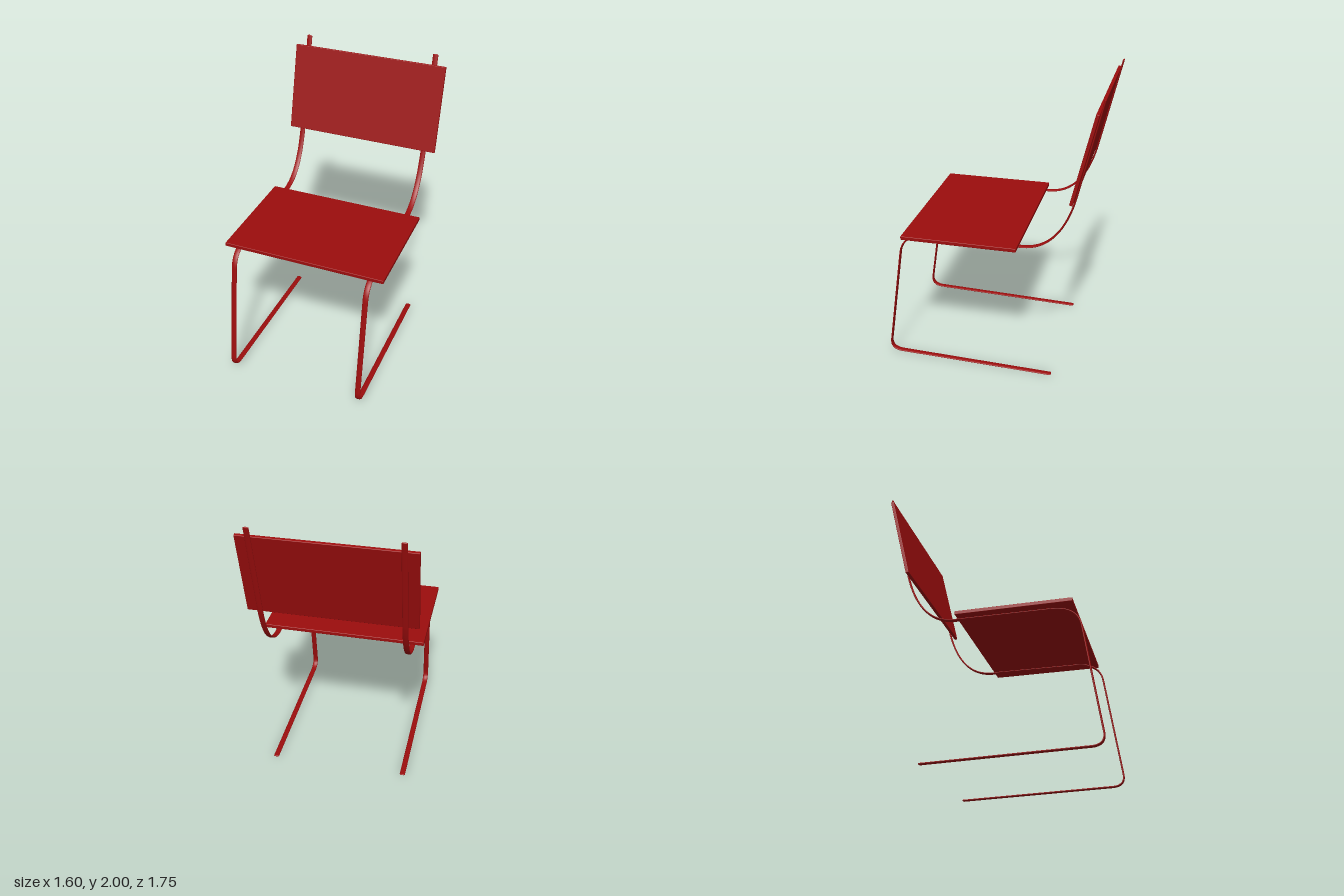
import * as THREE from 'three';
import { RoundedBoxGeometry } from 'three/addons/geometries/RoundedBoxGeometry.js';

const material = new THREE.MeshStandardMaterial({ color: 0x9c0d0d, side: THREE.DoubleSide });
const BAR_THICKNESS = 0.012, BAR_WIDTH = 0.038;

function panel(name, width, height, depth) {
  const mesh = new THREE.Mesh(new RoundedBoxGeometry(width, height, depth, 2, 0.004), material);
  mesh.name = name;
  return mesh;
}

// One continuous bent bar in the z/y plane: floor runner, leg, seat rail and back upright
function frameCurve() {
  const p = (z, y) => new THREE.Vector3(0, y, z);
  const path = new THREE.CurvePath();
  const line = (a, b) => path.add(new THREE.LineCurve3(a, b));
  const bend = (a, corner, b) => path.add(new THREE.QuadraticBezierCurve3(a, corner, b));
  line(p(-0.41, 0.008), p(0.66, 0.036));
  bend(p(0.66, 0.036), p(0.75, 0.038), p(0.739, 0.12));
  line(p(0.739, 0.12), p(0.635, 0.83));
  bend(p(0.635, 0.83), p(0.614, 0.966), p(0.44, 0.967));
  line(p(0.44, 0.967), p(-0.2, 0.971));
  bend(p(-0.2, 0.971), p(-0.445, 0.973), p(-0.543, 1.33));
  line(p(-0.543, 1.33), p(-0.699, 1.992));
  return path;
}

// Oval bar: a round tube widened sideways, with rounded ends
function frameBar(name, x) {
  const group = new THREE.Group();
  group.name = name;
  const curve = frameCurve();
  const r = BAR_THICKNESS / 2, widen = BAR_WIDTH / BAR_THICKNESS;
  const tube = new THREE.TubeGeometry(curve, 240, r, 14, false);
  tube.scale(widen, 1, 1);
  const bar = new THREE.Mesh(tube, material);
  bar.name = name + 'Bar';
  group.add(bar);
  for (const t of [0, 1]) {
    const cap = new THREE.Mesh(new THREE.SphereGeometry(r, 14, 8).scale(widen, 1, 1), material);
    cap.name = name + (t ? 'TopEnd' : 'FootEnd');
    cap.position.copy(curve.getPoint(t));
    group.add(cap);
  }
  group.position.x = x;
  return group;
}

export function createModel() {
  const model = new THREE.Group();
  model.name = 'cantileverChair';
  const chair = new THREE.Group();
  chair.name = 'chair';
  chair.rotation.y = 0.509; // the chair stands turned to its left
  model.add(chair);

  // Seat panel
  const seat = panel('seat', 1.115, 0.026, 0.778);
  seat.position.set(0.025, 0.987, 0.204);
  chair.add(seat);

  // Leaning back panel
  const back = panel('backrest', 1.112, 0.612, 0.022);
  back.position.set(0.013, 1.63, -0.597);
  back.rotation.x = -0.234;
  chair.add(back);

  // Bent side frames
  chair.add(frameBar('leftFrame', 0.013 + 0.468), frameBar('rightFrame', 0.013 - 0.468));
  return model;
}
